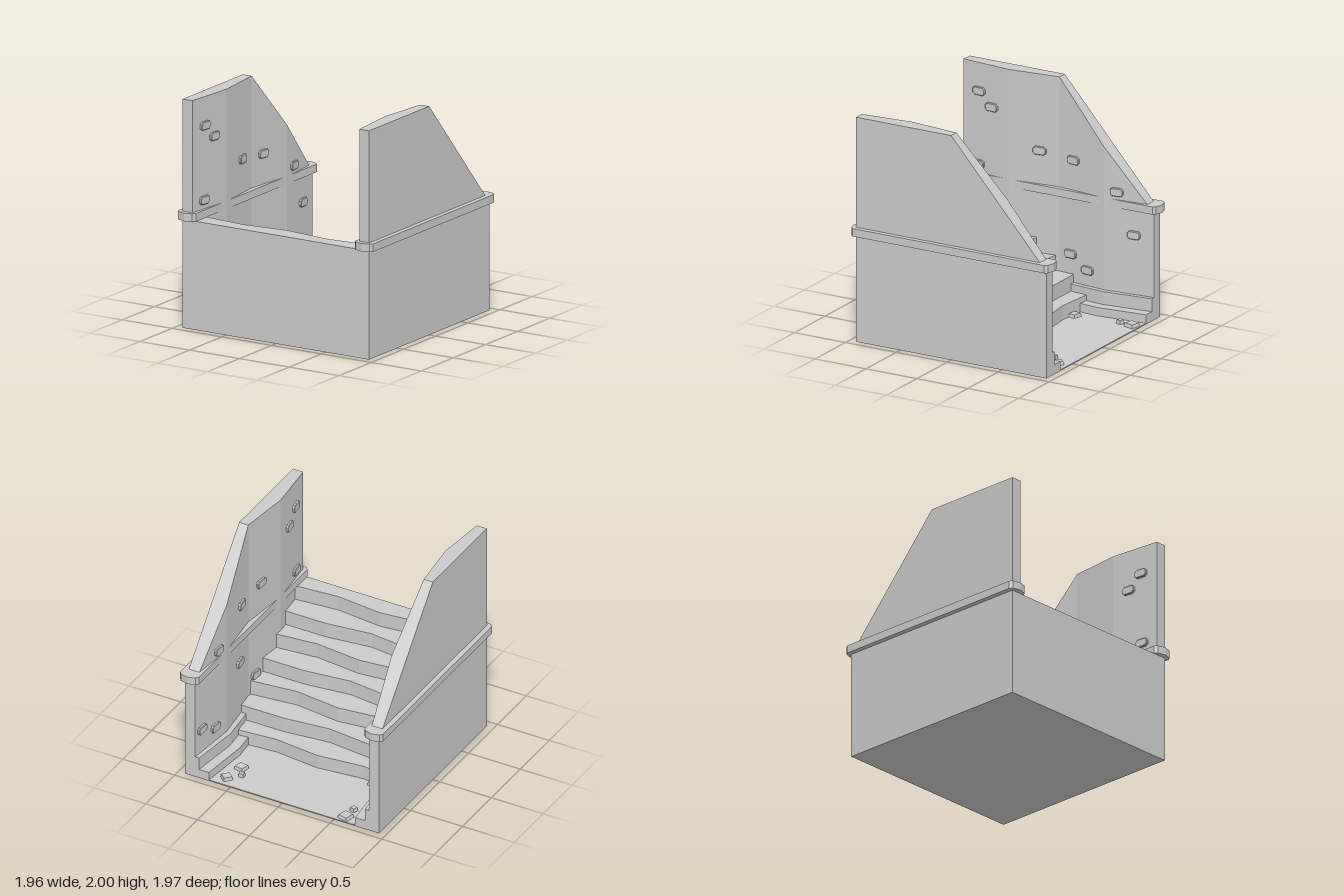
import * as THREE from 'three';

const material = new THREE.MeshStandardMaterial({ color: 0xcccccc, flatShading: true });

function addMesh(parent, name, geometry) {
  const mesh = new THREE.Mesh(geometry, material);
  mesh.name = name;
  parent.add(mesh);
  return mesh;
}

// Slab with an outline of [x, z] points, between two heights
function slab(points, bottom, top) {
  const shape = new THREE.Shape(points.map(([x, z]) => new THREE.Vector2(x, z)));
  const g = new THREE.ExtrudeGeometry(shape, { depth: top - bottom, bevelEnabled: false });
  return g.rotateX(Math.PI / 2).translate(0, top, 0);
}

// Distance of the wavering inner wall face from the centre plane
const END = 0.935;
const waver = [0.838, 0.795, 0.847, 0.795, 0.838];
function innerFace(z) {
  const t = (z + END) / (2 * END) * 4;
  const i = Math.min(3, Math.max(0, Math.floor(t)));
  const slope = (waver[i + 1] - waver[i]) / (END / 2);
  return { x: THREE.MathUtils.lerp(waver[i], waver[i + 1], t - i), slope };
}

// Side wall: a segmented box with wavering inside and a top that slopes to the back
function wallGeometry(side) {
  const g = new THREE.BoxGeometry(2, 2, 2 * END, 1, 1, 4).toNonIndexed();
  const p = g.attributes.position;
  for (let i = 0; i < p.count; i++) {
    const z = p.getZ(i);
    const x = p.getX(i) * side > 0 ? END : innerFace(z).x;
    const y = p.getY(i) > 0 ? 2 + Math.min(0, z) * 1.125 : 0;
    p.setXYZ(i, side * x, y, z);
  }
  g.computeVertexNormals();
  return g;
}

// Small stone with cut corners standing out of the wall
function brickGeometry() {
  const w = 0.06, h = 0.036, c = 0.018;
  const pts = [[w - c, -h], [w, c - h], [w, h - c], [w - c, h],
    [c - w, h], [-w, h - c], [-w, c - h], [c - w, -h]];
  const shape = new THREE.Shape(pts.map(([x, y]) => new THREE.Vector2(x, y)));
  return new THREE.ExtrudeGeometry(shape, {
    depth: 0.016, bevelEnabled: true, bevelSize: 0.005, bevelThickness: 0.005, bevelOffset: -0.005, bevelSegments: 1,
  });
}

export function createModel() {
  const model = new THREE.Group();
  model.name = 'walledStaircase';

  // Floor
  const floor = addMesh(model, 'floor', new THREE.BoxGeometry(1.8, 0.01, 2 * END));
  floor.position.y = 0.005;

  // Seven worn steps climbing to the front
  const stairs = new THREE.Group();
  stairs.name = 'stairs';
  model.add(stairs);
  const rise = 0.95 / 7;
  const edges = [ // z of the nosing at the wall, a quarter in, and the middle
    [-0.32, -0.285, -0.33], [-0.15, -0.15, -0.105], [0.035, 0.08, 0.03], [0.21, 0.21, 0.26],
    [0.4, 0.44, 0.395], [0.57, 0.57, 0.62], [0.765, 0.8, 0.755],
  ];
  edges.forEach(([a, b, c], i) => {
    const outline = [[-0.845, a], [-0.42, b], [0, c], [0.42, b], [0.845, a], [0.845, END], [-0.845, END]];
    addMesh(stairs, 'step' + (i + 1), slab(outline, i * rise, (i + 1) * rise));
  });

  // Bricks as [z, y]: the upper ones are shared by both walls
  const upperBricks = [[0.77, 1.75], [0.64, 1.63], [0.18, 1.32], [-0.15, 1.29], [-0.59, 1.09], [0.78, 1.1]];
  const lowerBricks = {
    '1': [[-0.19, 0.73], [0.1, 0.44], [-0.84, 0.43], [-0.64, 0.34]],
    '-1': [[-0.75, 0.73], [-0.12, 0.45], [-0.3, 0.34]],
  };
  const brick = brickGeometry();

  for (const side of [1, -1]) {
    const half = new THREE.Group();
    half.name = side > 0 ? 'leftSide' : 'rightSide';
    model.add(half);
    const mirrored = (pts) => pts.map(([x, z]) => [side * x, z]);

    addMesh(half, 'wall', wallGeometry(side));

    // Trim band with blunted ends
    const cap = [[0.98, 0.94], [0.96, 0.965], [0.89, 0.985], [0.82, 0.965], [0.8, 0.94]];
    const back = cap.map(([x, z]) => [x, -z]).reverse();
    addMesh(half, 'trim', slab(mirrored([...cap, ...back]), 0.95, 1.02));

    // Two footings along the bottom of the wall
    addMesh(half, 'tallFooting', slab(mirrored(
      [[0.88, -END], [0.8, -END], [0.75, -0.48], [0.785, -0.14], [0.88, -0.14]]), 0, 0.2));
    addMesh(half, 'lowFooting', slab(mirrored(
      [[0.85, -END], [0.705, -END], [0.66, -0.48], [0.68, -0.25], [0.85, -0.25]]), 0, 0.085));

    for (const [z, y] of [...upperBricks, ...lowerBricks[side]]) {
      const face = innerFace(z);
      const stone = addMesh(half, 'wallBrick', brick);
      stone.position.set(side * face.x, y, z);
      stone.rotation.y = Math.atan2(-side, face.slope);
    }
  }

  // Rubble: x, z, width, height, turn
  const rubble = [
    [-0.58, -0.87, 0.1, 0.03, 0.25], [-0.59, -0.75, 0.05, 0.035, 0.3], [-0.55, -0.32, 0.09, 0.03, 0.2],
    [0.585, -0.84, 0.085, 0.03, 0.75], [0.49, -0.75, 0.045, 0.035, 0], [0.55, -0.65, 0.09, 0.03, 0.2],
  ];
  for (const [x, z, w, h, turn] of rubble) {
    const r = w / Math.SQRT2;
    const stone = addMesh(model, 'rubble', new THREE.CylinderGeometry(r * 0.85, r, h, 4).rotateY(Math.PI / 4));
    stone.position.set(x, 0.01 + h / 2, z);
    stone.rotation.y = -turn;
  }

  return model;
}
